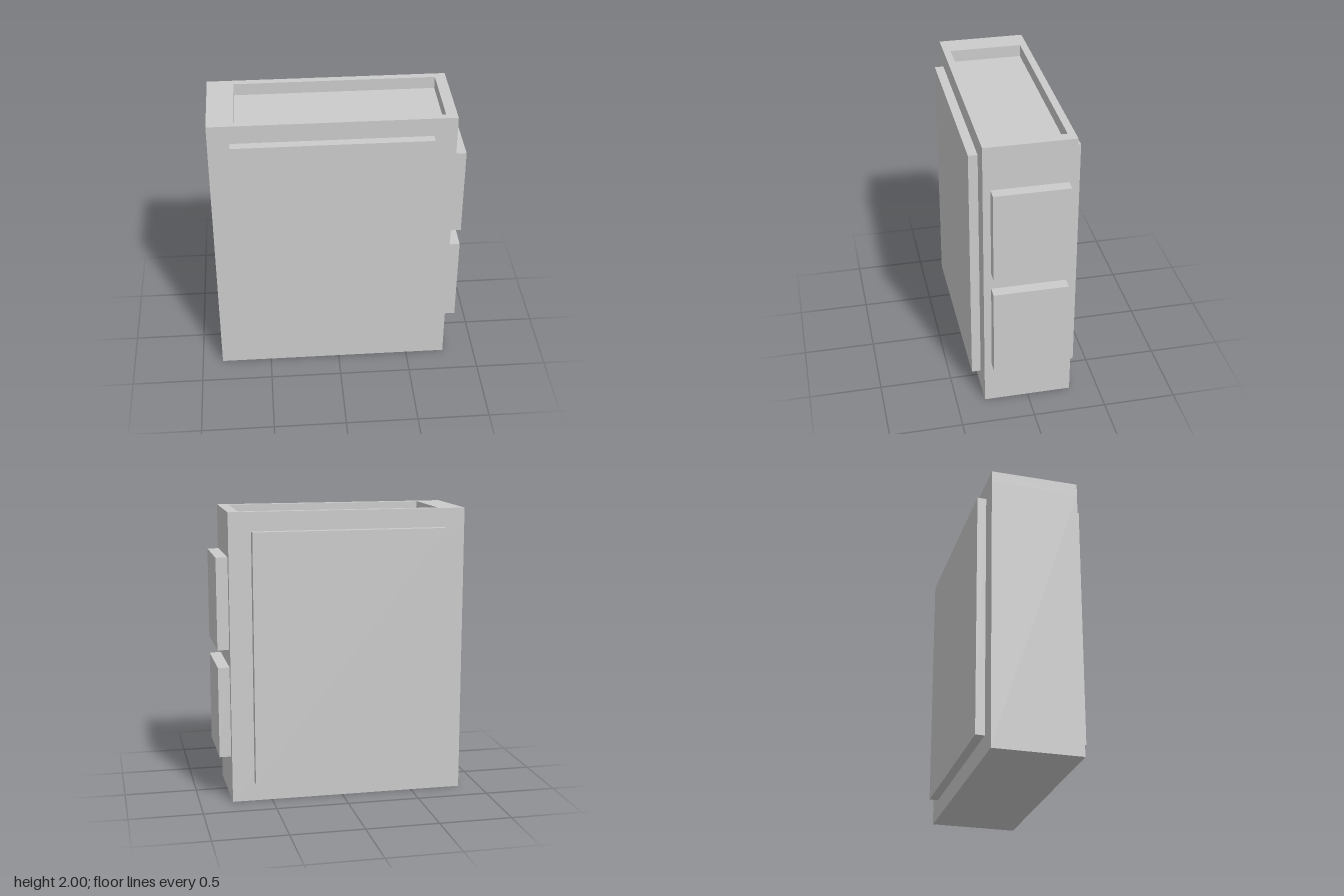
import * as THREE from 'three';

const material = new THREE.MeshStandardMaterial({ color: 0xcccccc, flatShading: true });

function addMesh(group, name, geometry) {
  const mesh = new THREE.Mesh(geometry, material);
  mesh.name = name;
  group.add(mesh);
}

// Box given by its lower and upper limits on each axis
function addBox(group, name, [x0, x1], [y0, y1], [z0, z1]) {
  const geometry = new THREE.BoxGeometry(x1 - x0, y1 - y0, z1 - z0);
  geometry.translate((x0 + x1) / 2, (y0 + y1) / 2, (z0 + z1) / 2);
  addMesh(group, name, geometry);
}

function rectangle(PathType, x0, x1, halfDepth) {
  return new PathType([
    new THREE.Vector2(x0, -halfDepth),
    new THREE.Vector2(x1, -halfDepth),
    new THREE.Vector2(x1, halfDepth),
    new THREE.Vector2(x0, halfDepth),
  ]);
}

export function createModel() {
  const model = new THREE.Group();
  model.name = 'case';

  const left = 0.775, right = -0.855, halfDepth = 0.303;
  const height = 2, recessDepth = 0.085;
  const floorY = height - recessDepth;

  // Main body, up to the floor of the top recess
  addBox(model, 'body', [right, left], [0, floorY], [-halfDepth, halfDepth]);

  // Rim around the top recess
  const rim = rectangle(THREE.Shape, right, left, halfDepth);
  rim.holes.push(rectangle(THREE.Path, -0.675, 0.7, 0.253));
  const rimGeometry = new THREE.ExtrudeGeometry(rim, { depth: recessDepth, bevelEnabled: false });
  rimGeometry.rotateX(-Math.PI / 2).translate(0, floorY, 0);
  addMesh(model, 'topRim', rimGeometry);

  // Raised panels on front and back
  addBox(model, 'frontPanel', [-0.708, 0.622], [0.135, 1.87], [halfDepth, 0.365]);
  addBox(model, 'backPanel', [-0.708, 0.622], [0.135, 1.87], [-0.365, -halfDepth]);

  // Two raised blocks on the left side
  addBox(model, 'lowerSideBlock', [left, 0.855], [0.312, 0.943], [-0.253, 0.253]);
  addBox(model, 'upperSideBlock', [left, 0.855], [1.065, 1.695], [-0.253, 0.253]);

  return model;
}
